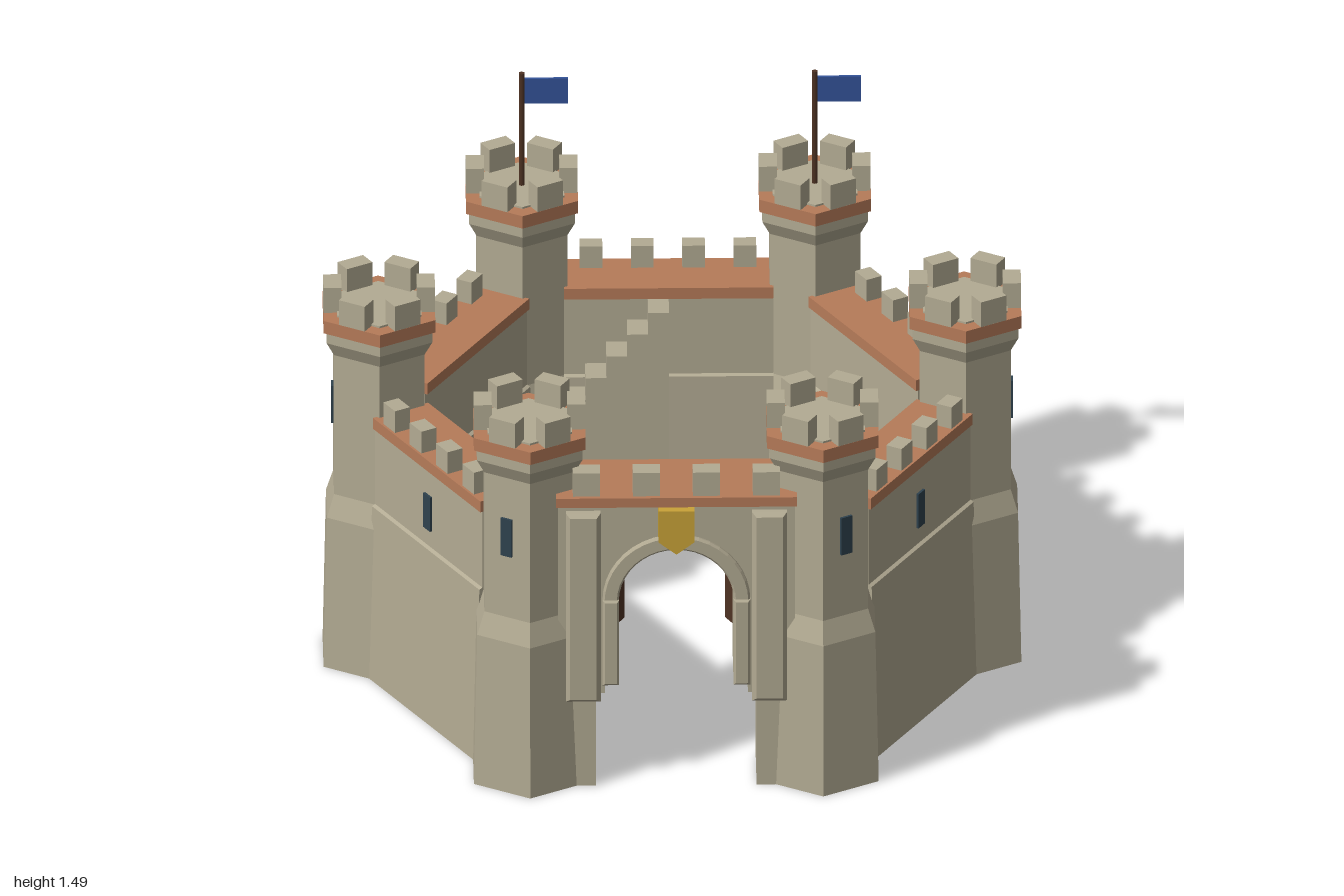
import * as THREE from 'three';

const mat = (name, color) => {
  const m = new THREE.MeshStandardMaterial({ color });
  m.name = name;
  return m;
};

export function createModel() {
  const stone = mat('stone', 0xb3ab93);
  const clay = mat('terracotta', 0xb67b59);
  const wood = mat('wood', 0x75543f);
  const darkWood = mat('darkWood', 0x4f3324);
  const slitBlue = mat('slit', 0x2f424e);
  const water = mat('water', 0x465a70);
  const cloth = mat('cloth', 0x34549a);
  const gold = mat('gold', 0xc9a338);

  const root = new THREE.Group();
  root.name = 'castle';

  // Helpers
  const add = (parent, name, geo, material, x = 0, y = 0, z = 0) => {
    const mesh = new THREE.Mesh(geo, material);
    mesh.name = name;
    mesh.position.set(x, y, z);
    parent.add(mesh);
    return mesh;
  };
  const group = (name, x = 0, y = 0, z = 0, turn = 0) => {
    const g = new THREE.Group();
    g.name = name;
    g.position.set(x, y, z);
    g.rotation.y = turn;
    root.add(g);
    return g;
  };
  const box = (w, h, d) => new THREE.BoxGeometry(w, h, d);
  const faceted = (profile, sides, start = 0) => {
    const pts = profile.map(([r, y]) => new THREE.Vector2(r, y));
    const geo = new THREE.LatheGeometry(pts, sides, start).toNonIndexed();
    geo.computeVertexNormals();
    return geo;
  };
  const polygon = (pts) => new THREE.Shape(pts.map(([x, y]) => new THREE.Vector2(x, y)));
  const slab = (shape, depth, bevel = 0) => new THREE.ExtrudeGeometry(shape, {
    depth: depth - 2 * bevel, curveSegments: 10, bevelEnabled: bevel > 0,
    bevelThickness: bevel, bevelSize: bevel, bevelOffset: -bevel, bevelSegments: 1,
  }).translate(0, 0, bevel - depth / 2);

  // Hexagonal towers
  const towerBody = faceted([[0, 0], [0.185, 0], [0.174, 0.48], [0.15, 0.55], [0.15, 1.0],
    [0.175, 1.045], [0.175, 1.08], [0, 1.08]], 6);
  const towerBand = faceted([[0, 1.08], [0.185, 1.08], [0.185, 1.12], [0, 1.12]], 6);
  const towerDeck = faceted([[0.14, 1.115], [0.14, 1.126], [0, 1.126]], 6);
  const towerMerlon = box(0.085, 0.08, 0.052);
  const hexRadius = 0.84;
  for (let i = 0; i < 6; i++) {
    const a = Math.PI / 6 + i * Math.PI / 3;
    const x = hexRadius * Math.sin(a), z = hexRadius * Math.cos(a);
    const tower = group('tower', x, 0, z);
    add(tower, 'towerBody', towerBody, stone);
    add(tower, 'towerBand', towerBand, clay);
    add(tower, 'towerDeck', towerDeck, stone);
    for (let k = 0; k < 6; k++) {
      const b = Math.PI / 6 + k * Math.PI / 3;
      add(tower, 'towerMerlon', towerMerlon, stone, 0.134 * Math.sin(b), 1.16, 0.134 * Math.cos(b)).rotation.y = b;
    }
    add(tower, 'towerSlit', box(0.036, 0.12, 0.009), slitBlue,
      0.133 * Math.sin(a), 0.81, 0.133 * Math.cos(a)).rotation.y = a;
    // Flags on the two rear towers
    if (z < -0.5) {
      add(tower, 'flagPole', new THREE.CylinderGeometry(0.009, 0.009, 0.37, 6), darkWood, 0, 1.302, 0);
      add(tower, 'flag', box(0.125, 0.08, 0.009), cloth, 0.07, 1.43, 0);
    }
  }

  // Curtain walls on every side but the front
  const wallBody = slab(polygon([[-0.11, 0], [0.11, 0], [0.095, 0.55], [0.085, 0.555],
    [0.085, 0.8], [-0.085, 0.8], [-0.085, 0.555], [-0.095, 0.55]]), 0.6).rotateY(-Math.PI / 2);
  const apothem = hexRadius * Math.cos(Math.PI / 6);
  for (let i = 1; i < 6; i++) {
    const a = i * Math.PI / 3;
    const wall = group('curtainWall', apothem * Math.sin(a), 0, apothem * Math.cos(a), a);
    add(wall, 'wallBody', wallBody, stone);
    add(wall, 'wallWalk', box(0.6, 0.035, 0.184), clay, 0, 0.8175, 0);
    for (let k = 0; k < 4; k++) {
      add(wall, 'wallMerlon', box(0.065, 0.07, 0.05), stone, (k - 1.5) * 0.147, 0.87, 0.06);
    }
    add(wall, 'wallSlit', box(0.038, 0.11, 0.009), slitBlue, 0, 0.665, 0.088);
  }

  // Gatehouse wall with an arched passage
  const gate = group('gatehouse', 0, 0, 0.745);
  const gateShape = polygon([[-0.34, 0], [-0.23, 0], [-0.23, 0.3], [-0.205, 0.3], [-0.205, 0.6]]);
  gateShape.absarc(0, 0.6, 0.205, Math.PI, 0, true);
  [[0.205, 0.3], [0.23, 0.3], [0.23, 0], [0.34, 0], [0.34, 0.92], [-0.34, 0.92]]
    .forEach(([x, y]) => gateShape.lineTo(x, y));
  add(gate, 'gateWall', slab(gateShape, 0.18), stone);
  add(gate, 'gateWalk', box(0.69, 0.03, 0.24), clay, 0, 0.93, 0);
  for (let k = 0; k < 4; k++) {
    add(gate, 'gateMerlon', box(0.078, 0.075, 0.055), stone, (k - 1.5) * 0.172, 0.9825, 0.08);
  }

  // Arch surround
  const arch = new THREE.Shape();
  arch.absarc(0, 0.6, 0.212, 0, Math.PI, false);
  arch.lineTo(-0.165, 0.6);
  arch.absarc(0, 0.6, 0.165, Math.PI, 0, true);
  add(gate, 'archRing', slab(arch, 0.205, 0.006), stone);
  for (const s of [-1, 1]) {
    const pier = polygon([[-0.024, 0.33], [0.024, 0.33], [0.024, 0.605], [-0.024, 0.605]]);
    add(gate, 'archPier', slab(pier, 0.215, 0.007), stone, s * 0.188, 0, 0);
    const buttress = polygon([[-0.05, 0.28], [0.05, 0.28], [0.05, 0.89], [-0.05, 0.89]]);
    add(gate, 'buttress', slab(buttress, 0.235, 0.012), stone, s * 0.267, 0, 0);
    // Open door leaf swung inward
    const hinge = group('gateDoor', s * 0.222, 0, 0.625, s * -1.08);
    hinge.rotation.y = s > 0 ? Math.PI - 1.08 : 1.08;
    add(hinge, 'doorLeaf', box(0.15, 0.33, 0.016), darkWood, 0.075, 0.53, 0);
  }
  const shield = polygon([[-0.052, 0.9], [-0.052, 0.8], [0, 0.76], [0.052, 0.8], [0.052, 0.9]]);
  add(gate, 'shield', slab(shield, 0.03), gold, 0, 0, 0.102);

  // Stair against the rear wall
  const stairPts = [[-0.36, 0.29], [0, 0.29]];
  for (let k = 0; k < 6; k++) {
    const top = 0.8 - k * 0.07;
    stairPts.push([-k * 0.06, top], [-(k + 1) * 0.06, top]);
  }
  add(root, 'stair', slab(polygon(stairPts), 0.1), stone, 0, 0, -0.6);

  // Well
  const well = group('well', 0.43, 0, -0.165);
  add(well, 'wellRing', faceted([[0, 0.29], [0.092, 0.29], [0.092, 0.4], [0.066, 0.4],
    [0.066, 0.355]], 8, Math.PI / 8), stone);
  add(well, 'wellWater', faceted([[0.067, 0.36], [0, 0.36]], 8, Math.PI / 8), water);
  for (const s of [-1, 1]) add(well, 'wellPost', box(0.02, 0.26, 0.02), wood, s * 0.075, 0.52, 0);
  add(well, 'wellBeam', box(0.205, 0.025, 0.045), wood, 0, 0.655, 0);

  // Barrels and crate
  const barrelBody = faceted([[0, 0.29], [0.04, 0.29], [0.048, 0.35], [0.04, 0.41], [0, 0.41]], 6);
  const hoop = faceted([[0.036, -0.008], [0.051, -0.008], [0.051, 0.008], [0.036, 0.008], [0.036, -0.008]], 6);
  for (const [x, z] of [[-0.535, -0.02], [-0.44, -0.02], [-0.487, -0.1]]) {
    const barrel = group('barrel', x, 0, z);
    add(barrel, 'barrelBody', barrelBody, wood);
    for (const y of [0.31, 0.405]) add(barrel, 'barrelHoop', hoop, darkWood, 0, y, 0);
  }
  add(root, 'crate', box(0.11, 0.11, 0.11), wood, -0.48, 0.345, 0.135);

  return root;
}
